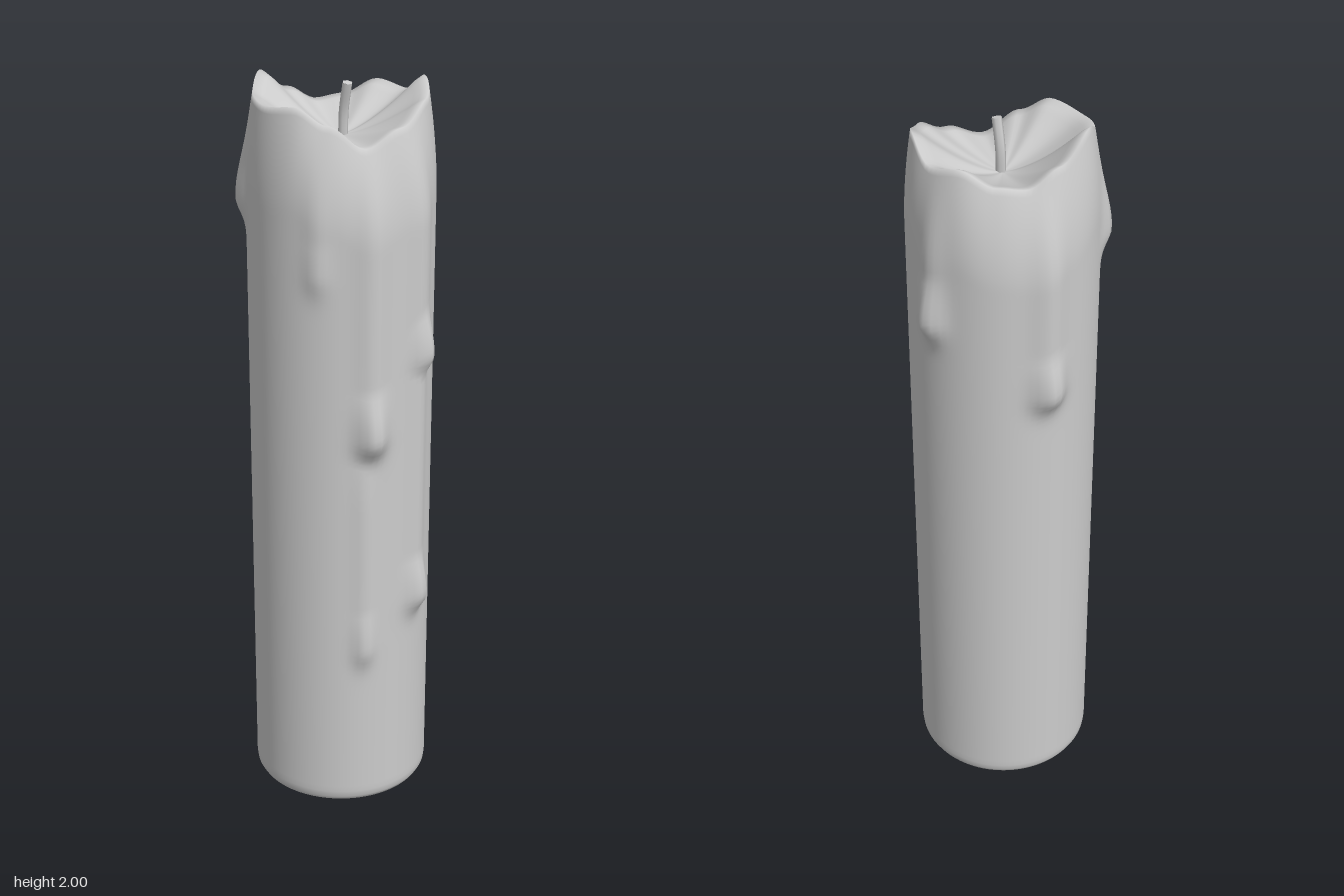
import * as THREE from 'three';

const SEGMENTS = 96;
const FLOOR = 1.86;

// Rim height around the top: [degrees from +x towards +z, y]
const RIM = [[0, 1.985], [30, 1.95], [60, 1.9], [90, 1.86], [118, 1.92], [140, 1.96], [165, 1.95], [190, 1.96],
  [213, 2.0], [243, 1.94], [268, 1.9], [290, 1.91], [315, 1.95], [338, 1.935], [360, 1.985]];

// Wax runs: angle, bulb height, half width in degrees, bulb bulge, bulge of the run above it, top of the run
const DRIPS = [
  { angle: 89, y: 1.11, width: 11, bulb: 0.046, run: 0.016, top: 1.9 },
  { angle: 93, y: 0.49, width: 8, bulb: 0.022, run: 0.01, top: 1.15 },
  { angle: 54, y: 0.62, width: 11, bulb: 0.04, run: 0.018, top: 1.9 },
  { angle: 52, y: 1.31, width: 11, bulb: 0.042, run: 0.018, top: 1.9 },
  { angle: -29, y: 1.53, width: 11, bulb: 0.037, run: 0.014, top: 1.9 },
  { angle: 258, y: 1.35, width: 12, bulb: 0.046, run: 0.022, top: 1.9 },
  { angle: 195, y: 1.69, width: 9, bulb: 0.026, run: 0.01, top: 1.9 },
  { angle: 122, y: 1.55, width: 9, bulb: 0.012, run: 0.008, top: 1.9 },
];

const smooth = (a, b, v) => THREE.MathUtils.smoothstep(v, a, b);

function rimHeight(deg) {
  const i = RIM.findIndex((p, k) => k > 0 && deg <= p[0]);
  const [a, ya] = RIM[i - 1], [b, yb] = RIM[i];
  return ya + (yb - ya) * smooth(a, b, deg);
}

// Narrower where the rim has melted at front and back
const rimRadius = (deg) => 0.222 - 0.03 * Math.sin(THREE.MathUtils.degToRad(deg)) ** 2;

function dripBulge(deg, y) {
  let bulge = 0;
  for (const d of DRIPS) {
    const off = ((deg - d.angle + 540) % 360) - 180;
    const across = Math.exp(-((off / d.width) ** 2) * 1.6);
    const dy = y - d.y;
    // Blunt tip below the bulb, long fade above it
    const bulb = d.bulb * Math.exp(-((dy / (dy < 0 ? 0.05 : 0.13)) ** 2));
    const run = d.run * smooth(-0.06, 0.02, dy) * (1 - smooth(d.top - 0.25, d.top + 0.05, y));
    bulge = Math.max(bulge, across * Math.max(bulb, run));
  }
  return bulge;
}

// Closed rings of points joined by quads; each ring is a function of the angle in degrees
function ringSurface(rings) {
  const positions = [], index = [];
  rings.forEach((ring, j) => {
    for (let i = 0; i < SEGMENTS; i++) {
      const deg = (i / SEGMENTS) * 360;
      const a = THREE.MathUtils.degToRad(deg);
      const [r, y] = ring(deg);
      positions.push(r * Math.cos(a), y, r * Math.sin(a));
      if (j === 0) continue;
      const n = (i + 1) % SEGMENTS;
      const lo = (j - 1) * SEGMENTS, hi = j * SEGMENTS;
      index.push(lo + i, hi + i, lo + n, lo + n, hi + i, hi + n);
    }
  });
  const geometry = new THREE.BufferGeometry();
  geometry.setAttribute('position', new THREE.Float32BufferAttribute(positions, 3));
  geometry.setIndex(index);
  geometry.computeVertexNormals();
  return geometry;
}

export function createModel() {
  const group = new THREE.Group();
  const material = new THREE.MeshStandardMaterial({ color: 0xcccccc });
  const add = (name, geometry) => {
    const mesh = new THREE.Mesh(geometry, material);
    mesh.name = name;
    group.add(mesh);
    return mesh;
  };

  // Wax body: rounded foot, side wall with drips, rim and melted bowl
  const rings = [() => [0.222, 0], () => [0.234, 0.006], () => [0.241, 0.018]];
  const ROWS = 110;
  for (let j = 1; j <= ROWS; j++) {
    rings.push((deg) => {
      const rim = rimHeight(deg);
      const y = 0.018 + (rim - 0.018) * (j / ROWS);
      const shoulder = Math.max(0, (y - (rim - 0.25)) / 0.25) ** 1.8;
      const wall = THREE.MathUtils.lerp(0.243, rimRadius(deg), shoulder);
      return [wall + dripBulge(deg, y), y];
    });
  }
  const BOWL = 14;
  for (let j = 1; j <= BOWL; j++) {
    const s = 1 - j / BOWL;
    rings.push((deg) => [
      Math.max(0.0005, (rimRadius(deg) - 0.008) * s),
      FLOOR - 0.01 + (rimHeight(deg) - FLOOR + 0.01) * s ** 1.5,
    ]);
  }
  add('waxBody', ringSurface(rings));

  // Flat underside
  const base = add('base', new THREE.CircleGeometry(0.222, SEGMENTS));
  base.rotation.x = Math.PI / 2;

  // Slightly bent wick with a flat tip
  const path = new THREE.CatmullRomCurve3([
    new THREE.Vector3(0.004, 1.83, 0.004),
    new THREE.Vector3(0.005, 1.91, 0.006),
    new THREE.Vector3(0.009, 1.985, 0.023),
  ]);
  add('wick', new THREE.TubeGeometry(path, 8, 0.013, 6));
  const tip = add('wickTip', new THREE.CircleGeometry(0.013, 6));
  tip.position.copy(path.getPoint(1));
  tip.lookAt(path.getPoint(1).add(path.getTangent(1)));

  // Centre the body with its drips on the origin
  const box = new THREE.Box3().setFromObject(group);
  const centre = box.getCenter(new THREE.Vector3());
  group.children.forEach((m) => { m.position.x -= centre.x; m.position.z -= centre.z; });
  return group;
}
